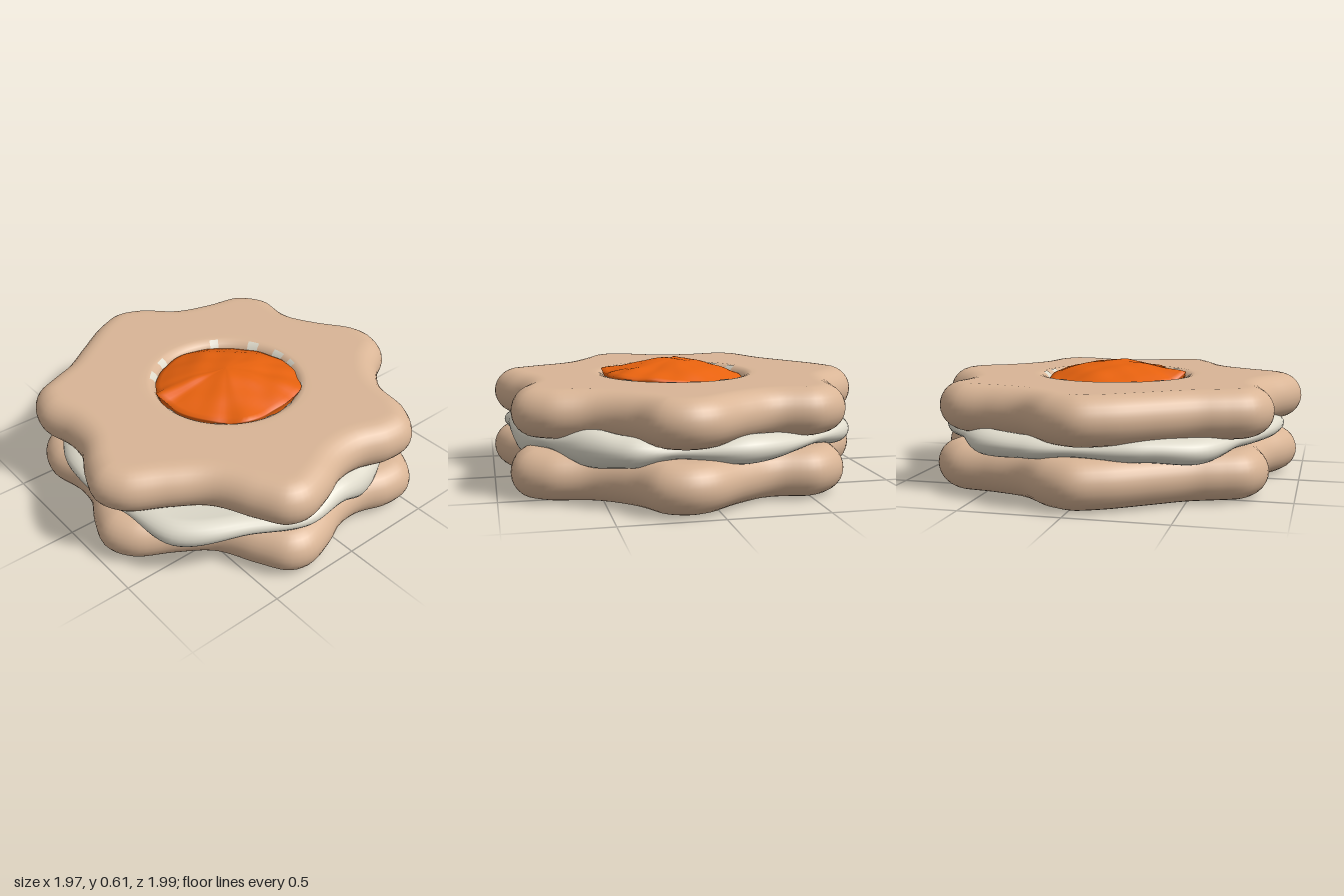
import * as THREE from 'three';

const N = 182;
const HOLE = { x: 0.03, z: 0.01 };
const material = (name, color) => Object.assign(new THREE.MeshStandardMaterial({ color }), { name });

// Skin a stack of closed rings (listed from underneath, round the outside, to the top)
function loft(rings) {
  const n = rings[0].length, pos = [], idx = [];
  rings.forEach(r => r.forEach(p => pos.push(p.x, p.y, p.z)));
  for (let i = 0; i < rings.length - 1; i++) {
    for (let j = 0; j < n; j++) {
      const k = (j + 1) % n, a = i * n + j, b = i * n + k, c = a + n, d = b + n;
      idx.push(a, c, b, b, c, d);
    }
  }
  const g = new THREE.BufferGeometry();
  g.setAttribute('position', new THREE.Float32BufferAttribute(pos, 3));
  g.setIndex(idx);
  g.computeVertexNormals();
  return g;
}

// Seven-lobed biscuit outline as x, z pairs
const OUTLINE = [
  [0.98, 0.29], [0.94, 0.40], [0.80, 0.49], [0.61, 0.59], [0.50, 0.74], [0.39, 0.92], [0.25, 0.99],
  [0.11, 0.95], [-0.05, 0.87], [-0.21, 0.855], [-0.41, 0.89], [-0.56, 0.825], [-0.635, 0.68], [-0.68, 0.57],
  [-0.79, 0.41], [-0.93, 0.20], [-0.985, 0.04], [-0.93, -0.12], [-0.79, -0.28], [-0.735, -0.45], [-0.69, -0.66],
  [-0.53, -0.78], [-0.31, -0.765], [-0.15, -0.84], [0.03, -0.96], [0.16, -0.98], [0.30, -0.92], [0.40, -0.77],
  [0.56, -0.64], [0.77, -0.59], [0.905, -0.48], [0.915, -0.32], [0.865, -0.16], [0.875, -0.02], [0.94, 0.13]];
const curve = new THREE.CatmullRomCurve3(OUTLINE.map(([x, z]) => new THREE.Vector3(x, 0, z)), true, 'centripetal');
const edge = Array.from({ length: N }, (_, i) => {
  const t = curve.getTangentAt(i / N);
  return { p: curve.getPointAt(i / N), n: new THREE.Vector3(t.z, 0, -t.x) };
});

const insetRing = (inset, y) => edge.map(({ p, n }) => p.clone().addScaledVector(n, -inset).setY(y));
const holeRing = (r, y) => edge.map(({ p }) => {
  const a = Math.atan2(p.z - HOLE.z, p.x - HOLE.x);
  return new THREE.Vector3(HOLE.x + r * Math.cos(a), y, HOLE.z + r * Math.sin(a));
});
const mixRing = (a, b, t) => a.map((p, i) => p.clone().lerp(b[i], t));

const RIM = [[0.425, 0.24], [0.405, 0.236], [0.385, 0.222], [0.372, 0.2], [0.367, 0.17], [0.365, 0.02]];

// Rounded biscuit 0.24 thick, with or without the round window
function biscuit(withHole) {
  const h = 0.24, r = h / 2, rings = [];
  const innerLow = holeRing(withHole ? 0.365 : 0.0001, 0);
  const innerTop = holeRing(withHole ? 0.425 : 0.0001, h);
  const low = insetRing(r, 0), top = insetRing(r, h);
  rings.push(innerLow, mixRing(low, innerLow, 0.5), mixRing(low, innerLow, 0.06));
  for (let i = 0; i <= 14; i++) {
    const a = -Math.PI / 2 + Math.PI * i / 14;
    rings.push(insetRing(r - r * Math.cos(a), r + r * Math.sin(a)));
  }
  rings.push(mixRing(top, innerTop, 0.06), mixRing(top, innerTop, 0.5), mixRing(top, innerTop, 0.92));
  if (withHole) RIM.forEach(([rr, y]) => rings.push(holeRing(rr, y)));
  else rings.push(innerTop);
  return loft(rings);
}

// Smooth periodic lookup in rows of [degrees, ...values]
function sample(rows, deg, col) {
  let i = rows.findIndex(r => r[0] > deg);
  if (i < 0) i = rows.length;
  const a = rows[(i - 1 + rows.length) % rows.length], b = rows[i % rows.length];
  const span = (b[0] - a[0] + 360) % 360, t = ((deg - a[0] + 360) % 360) / span;
  return THREE.MathUtils.lerp(a[col], b[col], t * t * (3 - 2 * t));
}

// Uneven cream: angle, radius, lowest and highest point of its edge
const CREAM = [
  [0, 0.92, 0.23, 0.37], [15, 0.96, 0.23, 0.33], [30, 0.94, 0.23, 0.33], [53, 1.0, 0.185, 0.33],
  [72, 0.92, 0.24, 0.33], [97, 0.91, 0.25, 0.36], [120, 0.87, 0.24, 0.33], [140, 0.925, 0.20, 0.33],
  [157, 0.90, 0.22, 0.34], [180, 0.87, 0.24, 0.32], [195, 0.895, 0.22, 0.33], [212, 0.92, 0.21, 0.34],
  [230, 0.86, 0.24, 0.32], [260, 0.905, 0.21, 0.35], [282, 0.86, 0.24, 0.32], [298, 0.925, 0.20, 0.35],
  [311, 0.92, 0.185, 0.37], [330, 0.89, 0.23, 0.33], [347, 0.91, 0.15, 0.35]];
function cream() {
  const ring = (k, f) => Array.from({ length: N }, (_, j) => {
    const deg = j / N * 360, a = deg * Math.PI / 180;
    const R = sample(CREAM, deg, 1), lo = sample(CREAM, deg, 2), hi = sample(CREAM, deg, 3);
    const c = Math.cos(a), s = Math.sin(a), [r, y] = f(R, lo, hi);
    return new THREE.Vector3(r * c, y, r * s);
  });
  const rings = [ring(0, R => [0.45, 0.25]), ring(0, R => [R - 0.22, 0.245])];
  for (let i = 0; i <= 12; i++) {
    const a = -Math.PI / 2 + Math.PI * i / 12;
    rings.push(ring(i, (R, lo, hi) => [R - 0.09 + 0.09 * Math.cos(a), (lo + hi) / 2 + (hi - lo) / 2 * Math.sin(a)]));
  }
  rings.push(ring(0, R => [R - 0.22, 0.305]), ring(0, R => [0.45, 0.3]));
  return loft(rings);
}

// Lumpy jam: angle, radius, edge height
const JAM = [
  [0, 0.37, 0.54], [25, 0.405, 0.545], [42, 0.375, 0.525], [62, 0.37, 0.53], [90, 0.375, 0.535],
  [102, 0.40, 0.565], [116, 0.375, 0.535], [145, 0.365, 0.52], [180, 0.37, 0.515], [215, 0.365, 0.505],
  [250, 0.365, 0.515], [280, 0.365, 0.535], [305, 0.375, 0.545], [325, 0.405, 0.555], [340, 0.385, 0.545]];
function jam() {
  const ring = (f, drop = 0) => Array.from({ length: 96 }, (_, j) => {
    const deg = j / 96 * 360, a = deg * Math.PI / 180, r = f * sample(JAM, deg, 1);
    const x = r * Math.cos(a), z = r * Math.sin(a);
    const ripple = 0.006 * (Math.sin(17 * x + 4 * z) * Math.cos(15 * z - 5 * x) + 0.5 * Math.sin(31 * x) * Math.sin(29 * z));
    const y = THREE.MathUtils.lerp(0.61, sample(JAM, deg, 2), Math.pow(f, 1.7)) + ripple - drop;
    return new THREE.Vector3(HOLE.x + x, y, HOLE.z + z);
  });
  const rings = [ring(0.9, 0.25), ring(0.95, 0.05), ring(0.985, 0.015)];
  for (let i = 14; i >= 0; i--) rings.push(ring(Math.max(i / 14, 0.0001)));
  return loft(rings);
}

export function createModel() {
  const model = new THREE.Group();
  model.name = 'sandwichBiscuit';
  const dough = material('biscuit tan', 0xd9b596);
  const white = material('cream', 0xdedacb);
  const orange = material('orange jam', 0xe8620e);
  const add = (name, geometry, mat, x = 0, y = 0, z = 0) => {
    const mesh = new THREE.Mesh(geometry, mat);
    mesh.name = name;
    mesh.position.set(x, y, z);
    model.add(mesh);
  };

  add('bottomBiscuit', biscuit(false), dough, 0.01, 0.005, -0.02);
  add('topBiscuit', biscuit(true), dough, 0, 0.303, 0);
  add('creamFilling', cream(), white);
  add('jamCentre', jam(), orange);

  // Faint cream smears on the rim of the window: start angle and sweep in degrees
  const smear = material('cream smear', 0xdedacb);
  smear.side = THREE.DoubleSide;
  const profile = RIM.slice(1, 4).map(([r, y]) => new THREE.Vector2(r - 0.001, y + 0.003));
  [[2, 6], [-18, 6], [40, 9], [82, 6], [130, 10], [152, 8], [206, 7], [238, 9], [262, 10], [280, 7], [314, 8]]
    .forEach(([start, sweep]) => {
      const rad = Math.PI / 180;
      const g = new THREE.LatheGeometry(profile, 4, (90 - start - sweep) * rad, sweep * rad);
      add('creamSmear', g, smear, HOLE.x, 0.303, HOLE.z);
    });
  return model;
}
